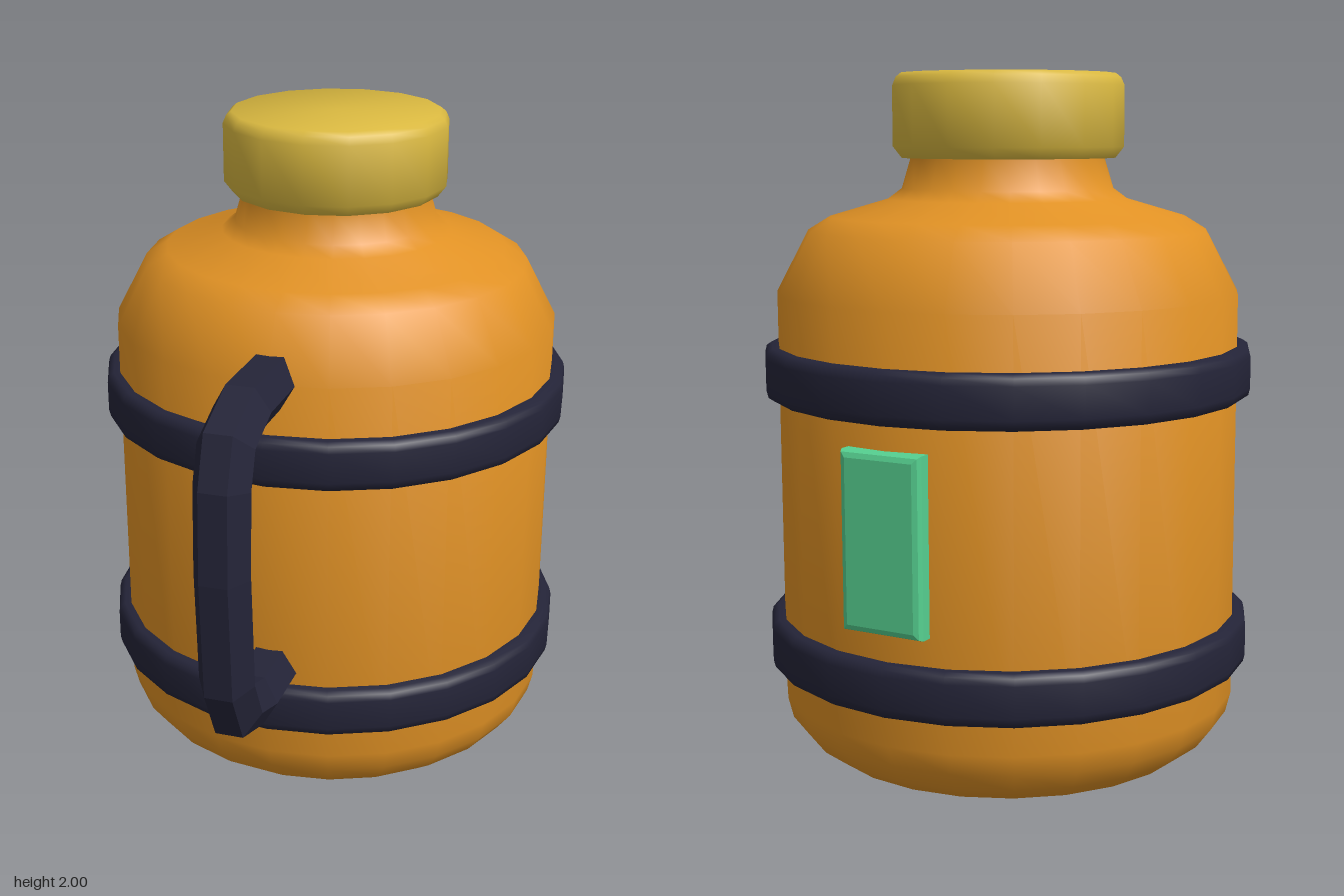
import * as THREE from 'three';
import { toCreasedNormals } from 'three/addons/utils/BufferGeometryUtils.js';

const AXIS_Z = -0.2; // the bottle sits behind centre, balancing the handle

function material(name, color) {
  const m = new THREE.MeshStandardMaterial({ color });
  m.name = name;
  return m;
}

// Turned part around the bottle axis, profile listed as [radius, y] from bottom to top
function turned(name, profile, sides, mat, crease) {
  const points = profile.map(([r, y]) => new THREE.Vector2(r, y));
  const geometry = toCreasedNormals(new THREE.LatheGeometry(points, sides), crease);
  const mesh = new THREE.Mesh(geometry, mat);
  mesh.name = name;
  mesh.position.z = AXIS_Z;
  return mesh;
}

// Faceted hexagonal bar swept along [z, y] points, with mitred joints and closed ends
function hexBar(path, radius) {
  const pts = path.map(([z, y]) => new THREE.Vector3(0, y, z));
  const side = new THREE.Vector3(1, 0, 0);
  const positions = [], index = [], n = 6, last = pts.length - 1;
  pts.forEach((p, i) => {
    const a = p.clone().sub(pts[Math.max(i - 1, 0)]).normalize();
    const b = pts[Math.min(i + 1, last)].clone().sub(p).normalize();
    const tangent = a.clone().add(b).normalize();
    const out = new THREE.Vector3().crossVectors(tangent, side);
    const miter = 1 / Math.max(tangent.dot(i < last ? b : a), 0.5);
    for (let k = 0; k < n; k++) {
      const t = (k / n) * Math.PI * 2;
      const v = p.clone()
        .addScaledVector(side, Math.cos(t) * radius)
        .addScaledVector(out, Math.sin(t) * radius * miter);
      positions.push(v.x, v.y, v.z);
    }
  });
  for (let i = 0; i < last; i++) {
    for (let k = 0; k < n; k++) {
      const a = i * n + k, b = i * n + (k + 1) % n;
      index.push(a, a + n, b, b, a + n, b + n);
    }
  }
  for (let k = 1; k < n - 1; k++) {
    index.push(0, k, k + 1, last * n, last * n + k + 1, last * n + k);
  }
  // Orient all faces outward (side x out x tangent runs against the sweep)
  for (let i = 0; i < index.length; i += 3) {
    [index[i + 1], index[i + 2]] = [index[i + 2], index[i + 1]];
  }
  const g = new THREE.BufferGeometry();
  g.setAttribute('position', new THREE.Float32BufferAttribute(positions, 3));
  g.setIndex(index);
  // Choose the winding by the sign of the enclosed volume
  let volume = 0;
  const v = k => new THREE.Vector3().fromArray(positions, index[k] * 3);
  for (let i = 0; i < index.length; i += 3) volume += v(i).dot(v(i + 1).cross(v(i + 2)));
  if (volume < 0) g.setIndex(index.reverse());
  const flat = g.toNonIndexed();
  flat.computeVertexNormals();
  return flat;
}

export function createModel() {
  const orange = material('orange body', 0xe09124);
  const yellow = material('yellow cap', 0xd9b840);
  const navy = material('dark navy', 0x242438);
  const green = material('green badge', 0x56d090);
  const group = new THREE.Group();
  group.name = 'jug';

  // Body with rounded base, shoulder and neck
  group.add(turned('body', [
    [0, 0], [0.5, 0], [0.56, 0.015], [0.62, 0.06], [0.665, 0.12], [0.68, 0.18],
    [0.68, 1.37], [0.585, 1.55], [0.52, 1.59], [0.35, 1.64], [0.31, 1.67],
    [0.283, 1.76], [0.283, 1.8],
  ], 24, orange, 0.9));

  // Screw cap
  group.add(turned('cap', [
    [0, 1.758], [0.315, 1.758], [0.34, 1.79], [0.34, 1.965], [0.33, 1.988], [0.315, 2], [0, 2],
  ], 16, yellow, 0.8));

  // Two reinforcing bands
  for (const [name, y] of [['lowerBand', 0.27], ['upperBand', 1.07]]) {
    group.add(turned(name, [
      [0.67, y], [0.7, y], [0.715, y + 0.01], [0.72, y + 0.03],
      [0.72, y + 0.12], [0.715, y + 0.14], [0.7, y + 0.15], [0.67, y + 0.15],
    ], 24, navy, 0.8));
  }

  // Handle at the front
  const handle = new THREE.Mesh(hexBar([
    [0.437, 1.37], [0.67, 1.37], [0.8, 1.317], [0.838, 1.21], [0.85, 0.96],
    [0.833, 0.625], [0.775, 0.505], [0.645, 0.46], [0.437, 0.46],
  ], 0.082), navy);
  handle.name = 'handle';
  group.add(handle);

  // Bevelled badge on the back
  const shape = new THREE.Shape();
  shape.moveTo(-0.105, -0.23).lineTo(0.105, -0.23).lineTo(0.105, 0.23).lineTo(-0.105, 0.23);
  const badge = new THREE.Mesh(new THREE.ExtrudeGeometry(shape, {
    depth: 0.04, bevelEnabled: true, bevelThickness: 0.02, bevelSize: 0.02, bevelSegments: 2,
  }), green);
  badge.name = 'badge';
  badge.position.set(0, 0.75, -0.895);
  group.add(badge);

  return group;
}
